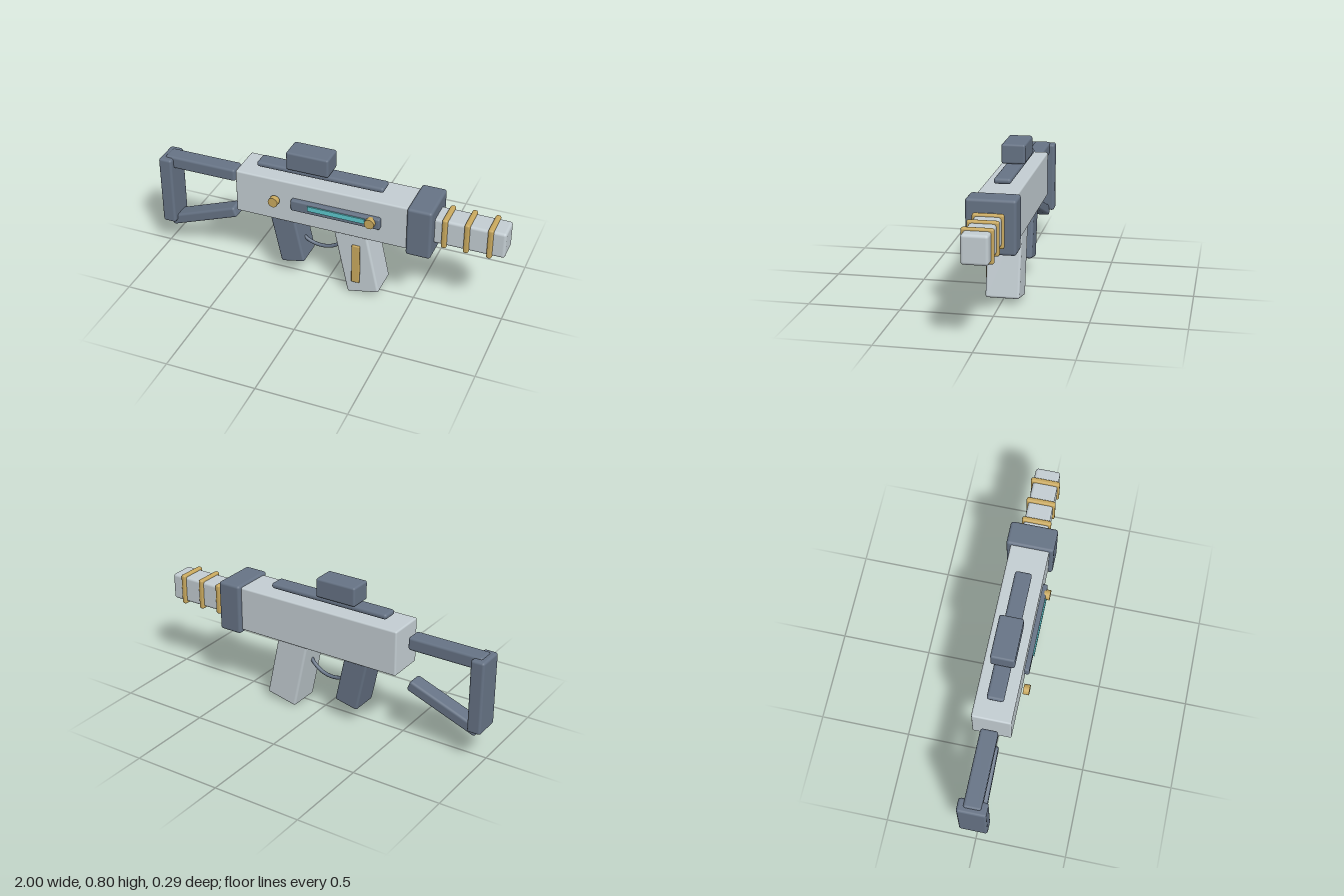
import * as THREE from 'three';
import { RoundedBoxGeometry } from 'three/addons/geometries/RoundedBoxGeometry.js';

const ZC = -0.011; // mid plane of the main parts

export function createModel() {
  const mat = (name, color) => {
    const m = new THREE.MeshStandardMaterial({ color });
    m.name = name;
    return m;
  };
  const shell = mat('pale grey', 0xc3cdd2);
  const steel = mat('slate', 0x667385);
  const gold = mat('gold', 0xc8a85e);
  const glow = mat('cyan', 0x5cc6cc);

  const model = new THREE.Group();
  model.name = 'toyBlaster';

  const add = (name, geometry, material, x, y, z = ZC, tilt = 0) => {
    const mesh = new THREE.Mesh(geometry, material);
    mesh.name = name;
    mesh.position.set(x, y, z);
    mesh.rotation.z = tilt;
    model.add(mesh);
    return mesh;
  };
  // Bevelled box given by its extents
  const box = (name, material, [x0, x1], [y0, y1], [z0, z1], bevel = 0.012) =>
    add(name, new RoundedBoxGeometry(x1 - x0, y1 - y0, z1 - z0, 2, bevel), material,
      (x0 + x1) / 2, (y0 + y1) / 2, (z0 + z1) / 2);
  const wide = (w) => [ZC - w / 2, ZC + w / 2];
  // Bevelled box leaning about z, placed by the middle of its lower end
  const leaning = (name, material, w, h, d, x, y, tilt) =>
    add(name, new RoundedBoxGeometry(w, h, d, 2, 0.013), material,
      x - Math.sin(tilt) * h / 2, y + Math.cos(tilt) * h / 2, ZC, tilt);

  // Body, collar and barrel
  box('body', shell, [-0.51, 0.52], [0.39, 0.647], wide(0.213), 0.01);
  box('collar', steel, [0.478, 0.616], [0.372, 0.661], wide(0.262), 0.016);
  box('barrel', shell, [0.55, 0.997], [0.44, 0.592], wide(0.138), 0.016);
  for (const x of [0.67, 0.79, 0.915]) {
    box('barrelRing', gold, [x - 0.015, x + 0.015], [0.427, 0.605], wide(0.163), 0.012);
  }

  // Top rail and sight
  box('topRail', steel, [-0.41, 0.32], [0.661, 0.693], wide(0.092), 0.015);
  box('sight', steel, [-0.228, 0.015], [0.695, 0.804], wide(0.13), 0.012);

  // Grip, magazine and trigger guard
  leaning('grip', steel, 0.142, 0.36, 0.165, -0.189, 0.109, 0.21);
  leaning('magazine', shell, 0.187, 0.44, 0.184, 0.232, 0.021, 0.21);
  box('magazineStrip', gold, [0.168, 0.216], [0.089, 0.333], [0.084, 0.099], 0.006);
  const guard = new THREE.TorusGeometry(0.16, 0.0105, 10, 32, Math.PI);
  add('triggerGuard', guard, steel, -0.05, 0.365, ZC, Math.PI);

  // Open shoulder stock
  box('stockTopBar', steel, [-0.972, -0.545], [0.53, 0.604], wide(0.096), 0.014);
  box('stockButt', steel, [-0.999, -0.921], [0.18, 0.595], wide(0.158), 0.014);
  add('stockLowerBar', new RoundedBoxGeometry(0.437, 0.062, 0.096, 2, 0.014), steel,
    -0.757, 0.247, ZC, 0.36);

  // Side panel with light strip and knobs
  box('sidePanel', steel, [-0.177, 0.332], [0.487, 0.554], [0.085, 0.122], 0.01);
  add('lightStrip', new THREE.BoxGeometry(0.325, 0.029, 0.009), glow, 0.088, 0.527, 0.1245);
  const knob = new THREE.CylinderGeometry(0.028, 0.028, 0.033, 20).rotateX(Math.PI / 2);
  for (const x of [-0.27, 0.282]) add('knob', knob, gold, x, 0.528, 0.1285);

  return model;
}
